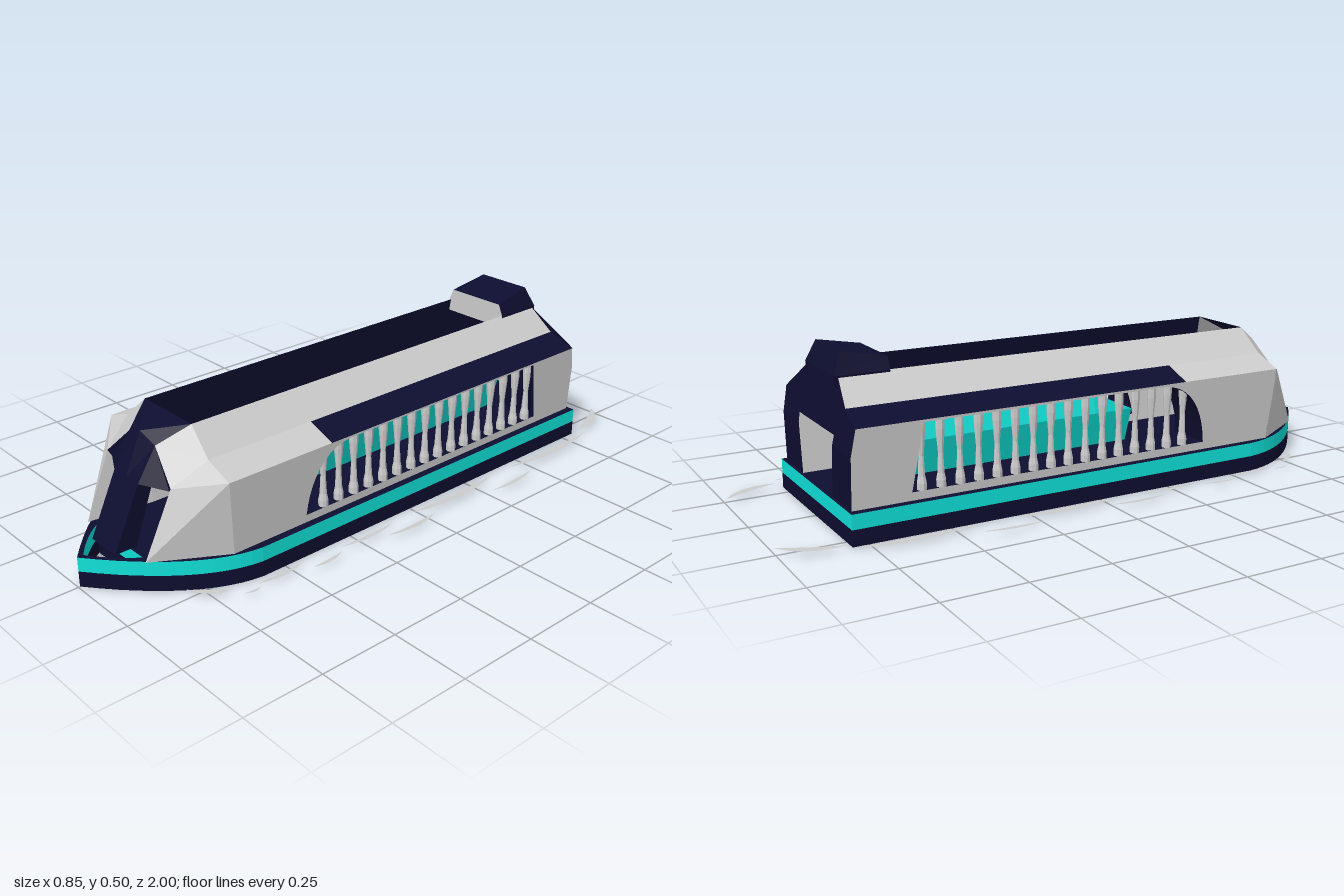
import * as THREE from 'three';

const paint = (color, side = THREE.DoubleSide) =>
  new THREE.MeshStandardMaterial({ color, side, flatShading: true });

export function createModel() {
  const model = new THREE.Group();
  const grey = paint(0xcccccc), navy = paint(0x0d0d30), teal = paint(0x10e0d8);
  const navyOneSided = paint(0x0d0d30, THREE.FrontSide);

  const add = (name, geometry, material, parent = model) => {
    const mesh = new THREE.Mesh(geometry, material);
    mesh.name = name;
    parent.add(mesh);
    return mesh;
  };
  // Flat polygons, each fanned from its first corner
  const panels = (name, polygons, material) => {
    const points = [];
    for (const p of polygons)
      for (let i = 1; i < p.length - 1; i++) points.push(...p[0], ...p[i], ...p[i + 1]);
    const g = new THREE.BufferGeometry();
    g.setAttribute('position', new THREE.Float32BufferAttribute(points, 3));
    g.computeVertexNormals();
    return add(name, g, material);
  };
  const flip = ([x, y, z]) => [-x, y, z];
  // Polygons on the left, and their mirror images on the right
  const mirrored = (name, polygons, material) => {
    panels('left' + name, polygons, material);
    panels('right' + name, polygons.map(p => p.map(flip).reverse()), material);
  };

  // Hull: plan outline with an opening in the bow, shape y = -z
  const hullOutline = () => {
    const s = new THREE.Shape();
    s.moveTo(-0.3, 0.8);
    s.lineTo(0.3, 0.8);
    s.lineTo(0.3, -0.58);
    s.quadraticCurveTo(0.28, -0.78, 0, -0.995);
    s.quadraticCurveTo(-0.28, -0.78, -0.3, -0.58);
    s.closePath();
    return s;
  };
  const openHull = hullOutline();
  const bowOpening = new THREE.Path();
  bowOpening.moveTo(-0.12, -0.86);
  bowOpening.lineTo(0.12, -0.86);
  bowOpening.quadraticCurveTo(0.08, -0.92, 0, -0.975);
  bowOpening.quadraticCurveTo(-0.08, -0.92, -0.12, -0.86);
  openHull.holes.push(bowOpening);
  const layer = (y, depth) => new THREE.ExtrudeGeometry(openHull, { depth, bevelEnabled: false, curveSegments: 12 })
    .rotateX(-Math.PI / 2).translate(0, y, 0);
  add('lowerHull', layer(0.001, 0.049), navy);
  add('upperHull', layer(0.05, 0.045), [navy, teal]);
  add('hullBottom', new THREE.ShapeGeometry(hullOutline(), 12).rotateX(Math.PI / 2).scale(1, 1, -1), navyOneSided);
  // the mirrored scale above reverses the corners, so turn them to face down
  const bottom = model.getObjectByName('hullBottom').geometry;
  const normals = bottom.attributes.normal;
  const index = bottom.index.array;
  for (let i = 0; i < index.length; i += 3) [index[i], index[i + 1]] = [index[i + 1], index[i]];
  for (let i = 0; i < normals.count; i++) normals.setXYZ(i, 0, -1, 0);
  const v = i => new THREE.Vector3().fromBufferAttribute(bottom.attributes.position, index[i]);
  if (v(1).sub(v(0)).cross(v(2).sub(v(0))).y > 0)
    for (let i = 0; i < index.length; i += 3) [index[i], index[i + 1]] = [index[i + 1], index[i]];

  // Thick side walls with an arched window, drawn as (z, y) and spread across x
  const wall = new THREE.Shape([[-0.79, 0.095], [0.66, 0.095], [0.68, 0.33], [-0.775, 0.33], [-0.79, 0.25]]
    .map(p => new THREE.Vector2(...p)));
  const windowHole = new THREE.Path();
  windowHole.moveTo(-0.61, 0.12);
  windowHole.lineTo(-0.575, 0.322);
  windowHole.lineTo(0.24, 0.322);
  windowHole.bezierCurveTo(0.34, 0.315, 0.39, 0.23, 0.4, 0.12);
  windowHole.closePath();
  wall.holes.push(windowHole);
  const inner = y => 0.125 + (y - 0.095) * 0.11;
  const outer = y => 0.275 + (y - 0.095) * 0.066;

  const profile = [[0.015, 0], [0.015, 0.02], [0.011, 0.04], [0.008, 0.1], [0.014, 0.17], [0.014, 0.205]]
    .map(p => new THREE.Vector2(...p));
  const balusterShape = new THREE.LatheGeometry(profile, 8);

  for (const [s, name] of [[1, 'left'], [-1, 'right']]) {
    const g = new THREE.ExtrudeGeometry(wall, { depth: 1, bevelEnabled: false, curveSegments: 10 });
    const p = g.attributes.position;
    for (let i = 0; i < p.count; i++) {
      const y = p.getY(i), x = THREE.MathUtils.lerp(inner(y), outer(y), p.getZ(i));
      p.setXYZ(i, s * x, y, p.getX(i));
    }
    g.computeVertexNormals();
    add(name + 'Wall', g, [grey, navy]);

    const row = new THREE.Group();
    row.name = name + 'Balusters';
    model.add(row);
    for (let i = 0; i < 16; i++)
      add('baluster', balusterShape, grey, row).position.set(s * 0.264, 0.12, 0.325 - i * 0.06);
  }

  // Roof corners: front (F) and rear (R), from the ridge out to the eave
  const ridgeF = [0.115, 0.44, 0.67], ridgeR = [0.115, 0.44, -0.755];
  const foldF = [0.2, 0.365, 0.68], foldR = [0.2, 0.365, -0.768];
  const eaveF = [0.293, 0.33, 0.68], eaveR = [0.293, 0.33, -0.775];
  const foldM = [0.2, 0.365, 0.315], eaveM = [0.293, 0.33, 0.315];
  const lipF = [0.145, 0.28, 0.67], lipR = [0.145, 0.28, -0.785];
  mirrored('RoofSlope', [[ridgeR, ridgeF, foldF, foldR]], grey);
  mirrored('FrontEave', [[foldM, foldF, eaveF, eaveM]], grey);
  mirrored('RearEave', [[foldR, foldM, eaveM, eaveR]], navy);
  mirrored('InnerRoof', [[ridgeF, ridgeR, lipR, lipF]], navy);

  // Rear frame above the doorway
  mirrored('RearFrame', [[ridgeR, foldR, eaveR, lipR]], navy);
  panels('rearLintel', [[ridgeR, lipR, flip(lipR), flip(ridgeR)]], navy);

  // Front cheeks and pillars
  const brow = [0.065, 0.385, 0.76], cheek = [0.16, 0.295, 0.78];
  const footOut = [0.275, 0.095, 0.66], footIn = [0.15, 0.095, 0.87];
  const innerFoot = [0.125, 0.095, 0.66];
  mirrored('FrontCheek', [[ridgeF, brow, foldF], [foldF, brow, cheek], [foldF, cheek, eaveF]], grey);
  mirrored('FrontPillar', [
    [eaveF, cheek, footIn], [eaveF, footIn, footOut],
    [cheek, lipF, innerFoot], [cheek, innerFoot, footIn],
  ], grey);

  // Navy hood and visor over the bow
  const peak = [0, 0.41, 0.765], lip = [0.145, 0.28, 0.775], tip = [0.06, 0.285, 0.82];
  panels('hood', [[ridgeF, flip(ridgeF), peak], [ridgeF, peak, brow],
    [flip(ridgeF), flip(brow), peak]], navy);
  mirrored('Visor', [[brow, peak, [0, 0.285, 0.82], tip], [brow, tip, lip], [brow, lip, cheek],
    [tip, [0, 0.285, 0.82], [0, 0.285, 0.76], lip]], navy);

  // Sloping bow post with a plank running aft
  const post = new THREE.Shape([[0.77, 0.285], [0.82, 0.285], [0.91, 0.095], [0.84, 0.095]]
    .map(p => new THREE.Vector2(-p[0], p[1])));
  add('bowPost', new THREE.ExtrudeGeometry(post, { depth: 0.12, bevelEnabled: false })
    .rotateY(Math.PI / 2).translate(-0.06, 0, 0), navy);
  add('plank', new THREE.BoxGeometry(0.12, 0.008, 0.65).translate(0, 0.281, 0.475), navy);

  // Open trough along the middle
  const top = z => [0.117, 0.217, z], base = z => [0.08, 0.1, z];
  const a = -0.605, b = 0.23;
  mirrored('TroughSide', [[top(a), top(b), base(b), base(a)]], teal);
  panels('troughEnds', [a, b].map(z => [top(z), base(z), flip(base(z)), flip(top(z))]), teal);
  panels('troughFloor', [[base(a), flip(base(a)), flip(base(b)), base(b)]], teal);

  // Raised rear canopy
  const c = { lowF: [0.12, 0.4, -0.6], midF: [0.122, 0.44, -0.6], topF: [0.105, 0.478, -0.6],
    topR: [0.095, 0.505, -0.742], midR: [0.122, 0.44, -0.767], lowR: [0.12, 0.4, -0.765] };
  const across = (p, q) => [p, q, flip(q), flip(p)];
  panels('canopyFront', [across(c.lowF, c.midF), across(c.midF, c.topF)], grey);
  panels('canopyTop', [across(c.topF, c.topR), across(c.topR, c.midR), across(c.lowR, c.lowF)], navy);
  mirrored('CanopySide', [[c.lowF, c.lowR, c.midR, c.midF], [c.midF, c.midR, c.topR, c.topF]], navy);

  // Ripples on the water: flat crescents as [x1, z1, x2, z2, bulge]
  const ripples = [
    [0.23, -1, 0.31, -0.82, 0.035], [0.34, -0.82, 0.34, -0.42, 0.03], [0.4, -0.46, 0.41, -0.26, 0.018],
    [0.34, -0.33, 0.34, 0.03, 0.03], [0.39, -0.02, 0.39, 0.18, 0.02], [0.345, 0.12, 0.345, 0.33, 0.018],
    [0.365, 0.34, 0.375, 0.46, 0.015], [0.335, 0.47, 0.335, 0.63, 0.018], [0.355, 0.63, 0.35, 0.69, 0.01],
    [0.315, 0.7, 0.23, 0.795, 0.02],
  ];
  for (const [x1, z1, x2, z2, bulge] of ripples) {
    const length = Math.hypot(x2 - x1, z2 - z1);
    const nx = (z2 - z1) / length, nz = (x1 - x2) / length;
    const arc = k => Array.from({ length: 9 }, (_, i) => {
      const t = i / 8, d = k * bulge * 4 * t * (1 - t);
      return [x1 + (x2 - x1) * t + nx * d, 0.015, z1 + (z2 - z1) * t + nz * d];
    });
    const far = arc(1), near = arc(0.15);
    mirrored('Ripple', far.slice(1).map((p, i) => [far[i], near[i], near[i + 1], p]), grey);
  }
  return model;
}
